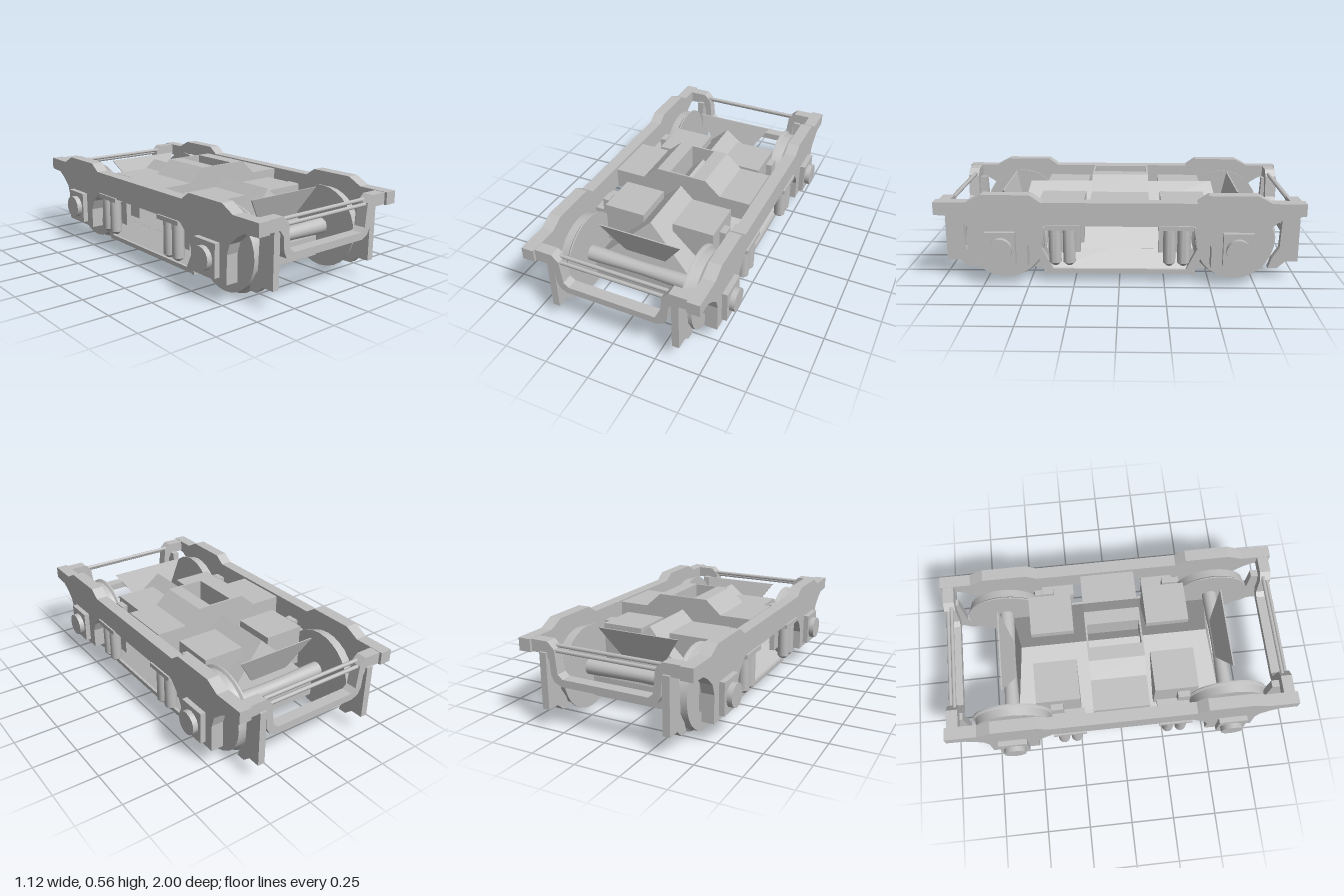
import * as THREE from 'three';
import { ConvexGeometry } from 'three/addons/geometries/ConvexGeometry.js';
import { toCreasedNormals } from 'three/addons/utils/BufferGeometryUtils.js';

export function createModel() {
  const model = new THREE.Group();
  const steel = new THREE.MeshStandardMaterial({ color: 0xc0c0c0 });
  steel.name = 'grey steel';

  const add = (name, geo) => {
    const m = new THREE.Mesh(geo, steel);
    m.name = name;
    model.add(m);
  };
  // Box from its limits
  const box = (name, x0, x1, y0, y1, z0, z1) =>
    add(name, new THREE.BoxGeometry(x1 - x0, y1 - y0, z1 - z0)
      .translate((x0 + x1) / 2, (y0 + y1) / 2, (z0 + z1) / 2));
  const vectors = pts => pts.map(p => new THREE.Vector2(...p));
  const extrude = (pts, depth) =>
    new THREE.ExtrudeGeometry(new THREE.Shape(vectors(pts)), { depth, bevelEnabled: false });
  // Outline in (z, y), extruded between two x positions
  const sidePlate = (name, s, pts, x0, x1) =>
    add(name, extrude(pts, x1 - x0).rotateY(-Math.PI / 2).translate(s > 0 ? x1 : -x0, 0, 0));
  // Outline in (x, y), extruded between two z positions
  const endPlate = (name, pts, z0, z1) => add(name, extrude(pts, z1 - z0).translate(0, 0, z0));
  const turned = (pts, sides) => toCreasedNormals(new THREE.LatheGeometry(vectors(pts), sides), 0.6);
  const flip = pts => pts.map(([a, b]) => [-a, b]).reverse();
  const mirrored = half => [...half, ...flip(half)];

  // Side frame: raised over the wheels, with a pedestal around each axle
  const frameHalf = [
    [0.42, 0.48], [0.48, 0.522], [0.74, 0.522], [0.82, 0.48], [1, 0.48], [1, 0.41],
    [0.9, 0.405], [0.85, 0.375], [0.8, 0.33], [0.78, 0.27], [0.78, 0.115],
    [0.5, 0.115], [0.5, 0.23], [0.47, 0.29], [0.41, 0.35],
  ];
  // Guard leg ahead of each wheel, in line with the tread
  const guard = [[0.985, 0.42], [0.985, 0.11], [0.915, 0.11], [0.87, 0.07],
    [0.82, 0.07], [0.84, 0.13], [0.88, 0.19], [0.89, 0.42]];
  // Lower rail with upturned ends
  const railHalf = [[0.37, 0.08], [0.43, 0.2], [0.41, 0.32], [0.45, 0.32],
    [0.48, 0.22], [0.43, 0.1], [0.4, 0.055]];
  // Wheel section with the flange on its inner side
  const wheelSection = [[0, 0], [0.235, 0], [0.235, 0.008], [0.222, 0.018], [0.218, 0.065], [0, 0.065]];
  const damperSection = [[0, 0.12], [0.014, 0.122], [0.034, 0.14], [0.034, 0.335]];

  for (const s of [1, -1]) {
    sidePlate('sideFrame', s, mirrored(frameHalf), 0.43, 0.5);
    sidePlate('lowerRail', s, mirrored(railHalf), 0.395, 0.43);

    for (const e of [1, -1]) {
      const corner = (name, x0, x1, y0, y1, z0, z1) => box(name,
        Math.min(s * x0, s * x1), Math.max(s * x0, s * x1), y0, y1,
        Math.min(e * z0, e * z1), Math.max(e * z0, e * z1));
      sidePlate('guardLeg', s, guard.map(([z, y]) => [e * z - 0.013, y]), 0.335, 0.375);

      // Axle box and round cap
      corner('axleBox', 0.39, 0.53, 0.14, 0.32, 0.56, 0.725);
      add('axleCap', new THREE.CylinderGeometry(0.065, 0.065, 0.04, 20)
        .rotateZ(Math.PI / 2).translate(s * 0.54, 0.228, e * 0.64));

      add('wheel', turned(wheelSection, 28)
        .rotateZ(-s * Math.PI / 2).translate(s * 0.326, 0.235, e * 0.64));
      corner('brakeHanger', 0.345, 0.38, 0.22, 0.43, 0.33, 0.4);

      // Spring bracket with a pair of dampers
      corner('springBracket', 0.36, 0.51, 0.33, 0.355, 0.21, 0.4);
      corner('springBacking', 0.4, 0.43, 0.18, 0.34, 0.215, 0.395);
      for (const z of [0.273, 0.35])
        add('damper', turned(damperSection, 14).translate(s * 0.47, 0, e * z));

      // Equipment box standing on the sloping body
      const shift = -0.014 * e;
      corner('equipmentBox', 0.09, 0.33, 0.2, 0.44, 0.216 + shift, 0.468 + shift);
    }

    // Cross bolster half beside the open centre
    const half = [[0.07, 0.555], [0.15, 0.555], [0.24, 0.475], [0.42, 0.475], [0.42, 0.36], [0.07, 0.36]];
    endPlate('bolsterHalf', half.map(([x, y]) => [s * x, y]), -0.16, 0.16);
    box('bolsterWeb', -0.07, 0.07, 0.36, 0.555, s * 0.155 - 0.005, s * 0.155 + 0.005);
  }

  // Central body between the wheels: ridged top with hipped ends
  const corners = [];
  for (const e of [1, -1]) {
    corners.push(new THREE.Vector3(0, 0.48, e * 0.537));
    for (const s of [1, -1])
      for (const y of [0.05, 0.167]) corners.push(new THREE.Vector3(s * 0.325, y, e * 0.61));
  }
  add('centralBody', new ConvexGeometry(corners));
  // Wider skirts carry the same slope down to the rails
  endPlate('bodySkirt', mirrored([[0.2, 0.05], [0.42, 0.05], [0.42, 0.075], [0.2, 0.287]]), -0.395, 0.395);

  // Waisted axle and dipped end beam outlines
  const axleSection = [[0.045, -0.4], [0.045, -0.28], [0.039, -0.1], [0.037, 0],
    [0.039, 0.1], [0.045, 0.28], [0.045, 0.4]];
  const beamTop = [[0.44, 0.478], [0.33, 0.478], [0.292, 0.44], [0.278, 0.31], [0.25, 0.287]];
  const beamBottom = [[0.26, 0.247], [0.3, 0.265], [0.318, 0.3], [0.325, 0.38], [0.35, 0.412], [0.44, 0.412]];
  const beam = [...mirrored(beamTop), ...flip(beamBottom), ...beamBottom];

  for (const e of [1, -1]) {
    add('axle', turned(axleSection, 20).rotateZ(Math.PI / 2).translate(0, 0.235, e * 0.64));

    // Deflector leaning outward, wider at the top
    const deflector = [];
    for (const s of [1, -1])
      for (const t of [0, 0.008])
        deflector.push(new THREE.Vector3(s * 0.24, 0.478, e * (0.67 - t)),
          new THREE.Vector3(s * 0.12, 0.305, e * (0.61 - t)));
    add('deflector', new ConvexGeometry(deflector));

    endPlate('endBeam', beam, e * 0.953 - 0.032, e * 0.953 + 0.032);

    // Straight hand rails and lower cross rod
    for (const [y, z] of [[0.45, 0.94], [0.43, 0.965]])
      add('endRail', new THREE.CylinderGeometry(0.011, 0.011, 0.62, 8)
        .rotateZ(Math.PI / 2).translate(0, y, e * z));
    box('crossRod', -0.42, 0.42, 0.045, 0.065, e * 0.41 - 0.01, e * 0.41 + 0.01);
  }
  return model;
}
